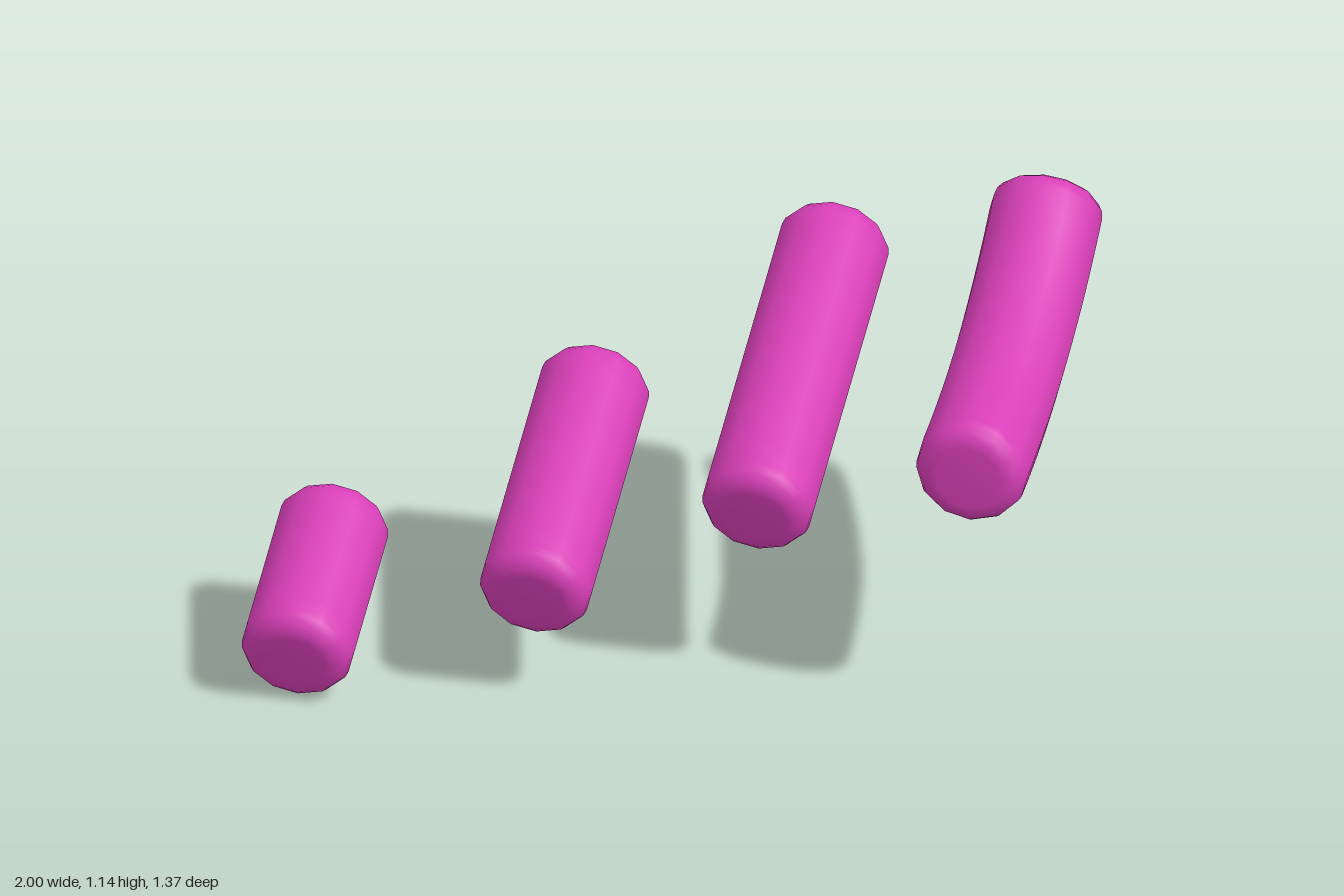
import * as THREE from 'three';
import { mergeVertices } from 'three/addons/utils/BufferGeometryUtils.js';

const RADIUS = 0.147;
const ROUND = 0.06; // rounding of the rod ends
const SIDES = 12;

// Round rod along -z, centred on the origin, bent upwards by a total angle
function rodGeometry(length, bend) {
  const half = length / 2;
  const profile = [new THREE.Vector2(0, -half)];
  const corner = (end, i) => {
    const a = (i / 4) * Math.PI / 2;
    return new THREE.Vector2(RADIUS - ROUND + ROUND * Math.sin(a), end * (half - ROUND + ROUND * Math.cos(a)));
  };
  for (let i = 0; i <= 4; i++) profile.push(corner(-1, i));
  const steps = 12;
  for (let i = 1; i < steps; i++) {
    profile.push(new THREE.Vector2(RADIUS, (half - ROUND) * (2 * i / steps - 1)));
  }
  for (let i = 4; i >= 0; i--) profile.push(corner(1, i));
  profile.push(new THREE.Vector2(0, half));

  let geometry = new THREE.LatheGeometry(profile, SIDES);
  geometry.deleteAttribute('uv');
  geometry.deleteAttribute('normal');
  const p = geometry.attributes.position;
  for (let i = 0; i < p.count; i++) {
    const s = p.getY(i), h = p.getZ(i);
    let along = s, up = h;
    if (bend) {
      const R = length / bend, a = s / R;
      along = (R - h) * Math.sin(a);
      up = R - (R - h) * Math.cos(a);
    }
    p.setXYZ(i, p.getX(i), up, -along);
  }
  geometry = mergeVertices(geometry, 1e-5);
  geometry.computeVertexNormals();
  return geometry;
}

export function createModel() {
  const group = new THREE.Group();
  group.name = 'rods';
  const material = new THREE.MeshStandardMaterial({ color: 0xd93fb8 });
  const deg = THREE.MathUtils.degToRad;

  // Rising row of rods, the last one curved
  const rods = [
    { name: 'shortRod', at: [-0.853, 0.21, 0.4], length: 0.535 },
    { name: 'mediumRod', at: [-0.26, 0.428, 0.127], length: 0.81 },
    { name: 'longRod', at: [0.279, 0.664, -0.17], length: 1.025 },
    { name: 'curvedRod', at: [0.853, 0.811, -0.129], length: 1.033, tilt: 18.4, bend: 33 },
  ];
  for (const { name, at, length, tilt = 18, bend = 0 } of rods) {
    const mesh = new THREE.Mesh(rodGeometry(length, deg(bend)), material);
    mesh.name = name;
    mesh.position.set(...at);
    mesh.rotation.x = deg(tilt);
    group.add(mesh);
  }
  return group;
}
